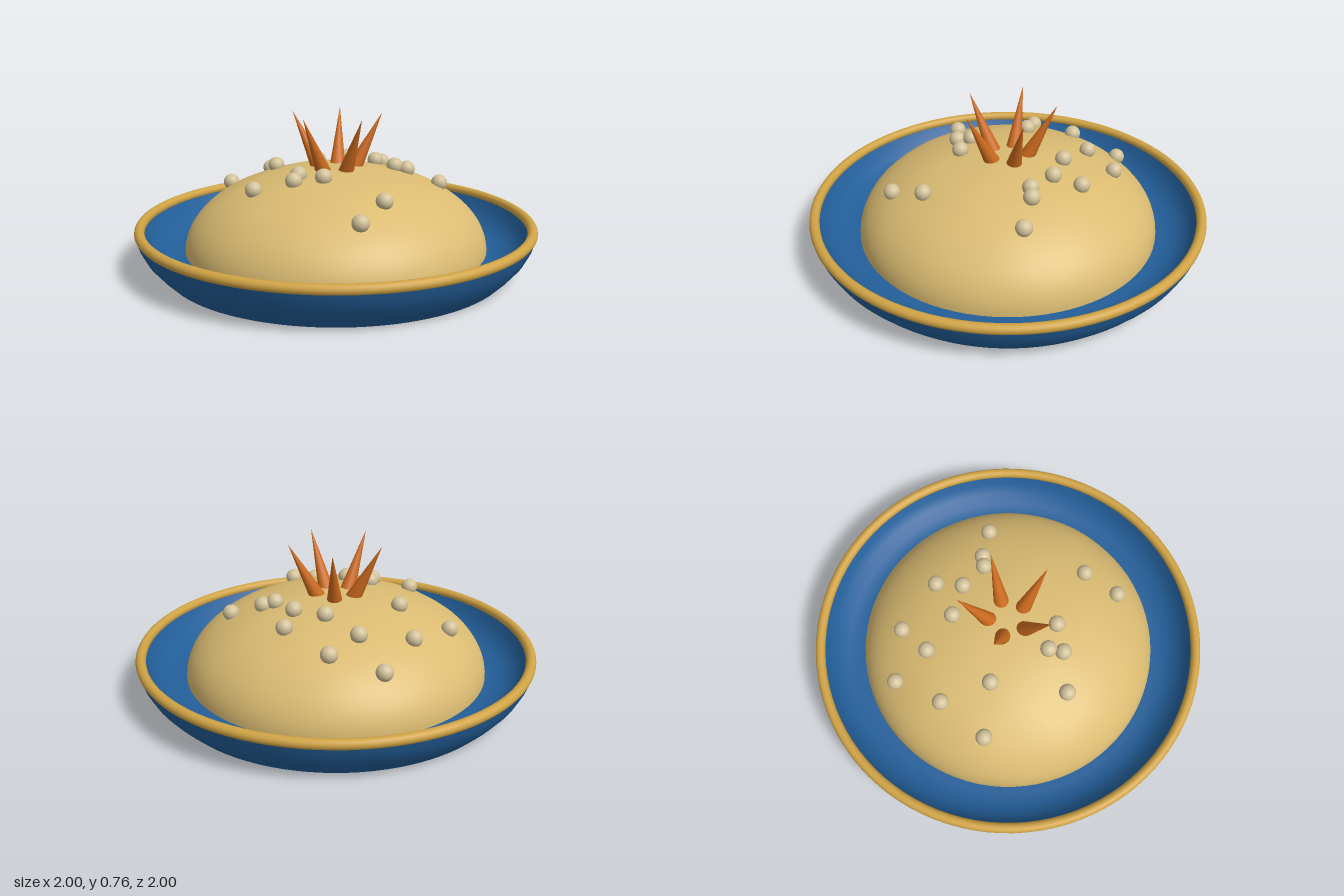
import * as THREE from 'three';

const paint = (name, color) => Object.assign(new THREE.MeshStandardMaterial({ color }), { name });

// Mound: flattened half ellipsoid resting in the dish
const MOUND = { radius: 0.757, height: 0.41, base: 0.09 };
const moundY = (r) => MOUND.base + MOUND.height * Math.sqrt(Math.max(0, 1 - (r / MOUND.radius) ** 2));

export function createModel() {
  const model = new THREE.Group();
  model.name = 'filledDish';
  const blue = paint('blue glaze', 0x235f9a);
  const gold = paint('gold', 0xd0a345);
  const grain = paint('golden grain', 0xdabb72);
  const cream = paint('cream', 0xd2c29a);
  const orange = paint('orange', 0xcc6a1e);

  const add = (name, geometry, material, parent = model) => {
    const mesh = new THREE.Mesh(geometry, material);
    mesh.name = name;
    parent.add(mesh);
    return mesh;
  };
  const lathe = (points) => new THREE.LatheGeometry(points.map(([x, y]) => new THREE.Vector2(x, y)), 96);

  // Dish: underside, outer wall and hollow inside
  add('dishFoot', lathe([[0, 0], [0.86, 0]]), blue);
  add('dishWall', lathe([[0.86, 0], [0.905, 0.045], [0.95, 0.098], [0.98, 0.155], [0.998, 0.213]]), blue);
  add('dishInside', lathe([[0.96, 0.213], [0.935, 0.16], [0.9, 0.115], [0.85, 0.085], [0.78, 0.07], [0, 0.06]]), blue);

  // Rounded rim
  const rim = add('rim', new THREE.TorusGeometry(0.974, 0.025, 16, 96).rotateX(Math.PI / 2), gold);
  rim.position.y = 0.21;

  // Mound with faint ripples on its surface
  const dome = new THREE.SphereGeometry(1, 80, 32, 0, Math.PI * 2, 0, Math.PI / 2);
  const p = dome.attributes.position;
  for (let i = 0; i < p.count; i++) {
    const x = p.getX(i), y = p.getY(i), z = p.getZ(i);
    const swell = 1 + 0.005 * y * Math.sin(9 * x + 4 * z) * Math.cos(11 * z - 3 * x);
    p.setXYZ(i, x * MOUND.radius * swell, MOUND.base + y * MOUND.height * swell, z * MOUND.radius * swell);
  }
  dome.computeVertexNormals();
  add('mound', dome, grain);

  // Scattered beads, placed by x and z and set on the mound
  const beads = new THREE.Group();
  beads.name = 'beads';
  model.add(beads);
  const beadGeometry = new THREE.SphereGeometry(0.041, 20, 14);
  const spots = [
    [-0.065, -0.62], [0.16, -0.505], [-0.26, -0.445], [0, -0.425], [-0.49, -0.305], [-0.27, -0.19],
    [0.115, -0.25], [0.315, -0.27], [0.245, -0.15], [0.31, -0.015], [0.37, 0], [0.515, 0.085],
    [-0.435, 0.145], [-0.215, 0.13], [-0.25, 0.195], [-0.11, 0.215], [0.12, 0.46], [-0.025, 0.585],
  ];
  for (const [x, z] of spots) {
    add('bead', beadGeometry, cream, beads).position.set(x, moundY(Math.hypot(x, z)) + 0.018, z);
  }

  // Crown of five spikes leaning outwards
  const crown = new THREE.Group();
  crown.name = 'spikeCrown';
  model.add(crown);
  const foot = new THREE.Vector3(0.087, 0.47, 0);
  const axis = new THREE.Vector3(0.237, 0.762, 0).sub(foot);
  const length = axis.length();
  const spike = new THREE.ConeGeometry(0.041, length, 16).translate(0, length / 2, 0);
  spike.rotateZ(-Math.atan2(axis.x, axis.y)).translate(foot.x, foot.y, 0);
  for (let i = 0; i < 5; i++) add('spike', spike, orange, crown).rotation.y = (i * Math.PI * 2) / 5;

  return model;
}
